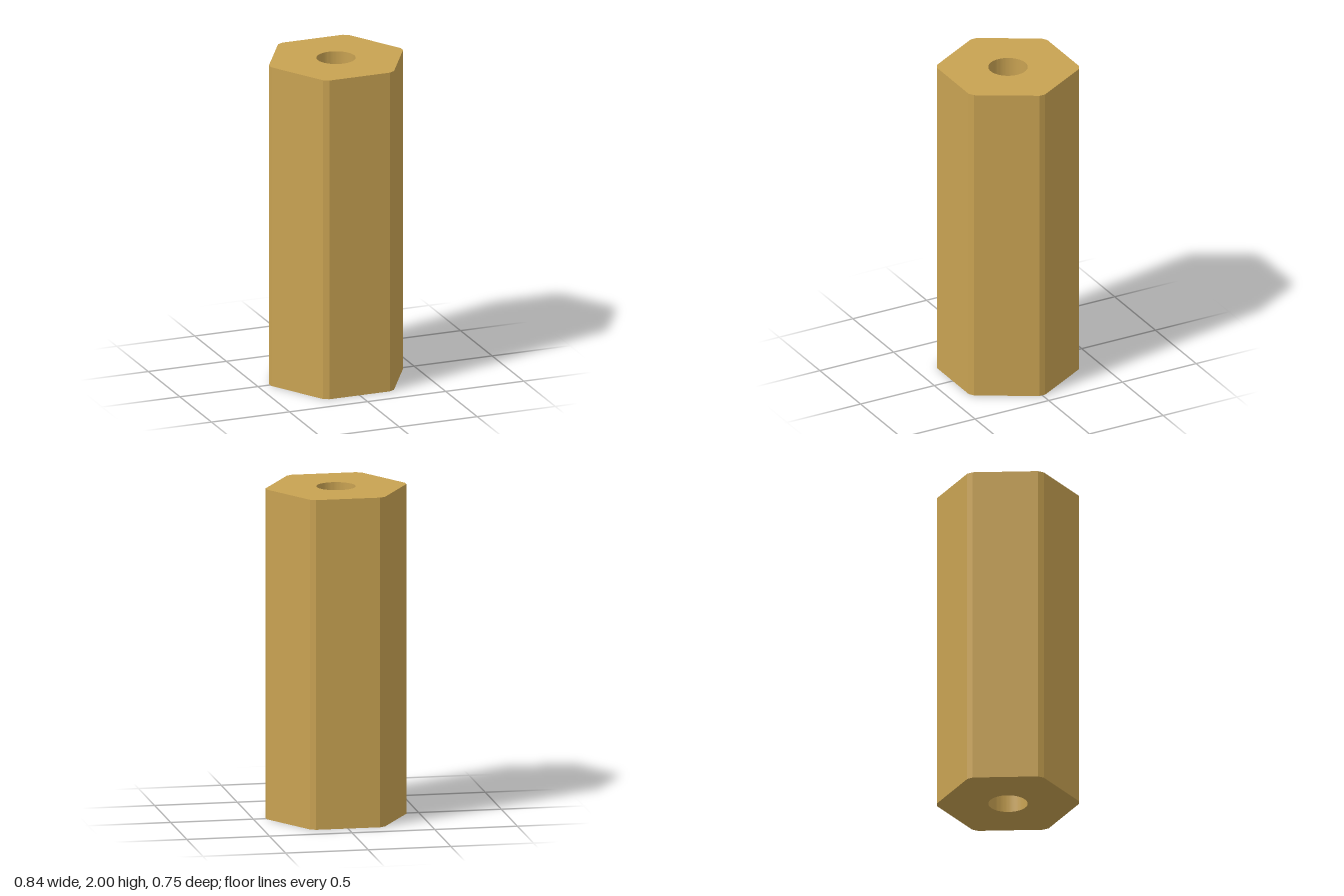
import * as THREE from 'three';
import { toCreasedNormals } from 'three/addons/utils/BufferGeometryUtils.js';

const HEIGHT = 2;
const APOTHEM = 0.375;      // centre to flat
const CORNER = 0.422;       // centre to trimmed corner
const BORE = 0.117;         // bore radius

// Hexagon with its six corners trimmed flat, and a round bore
function hexProfile() {
  const halfTrim = (APOTHEM * 2 / Math.sqrt(3) - CORNER) * Math.sqrt(3);
  const radius = Math.hypot(CORNER, halfTrim);
  const offset = Math.atan2(halfTrim, CORNER);
  const points = [];
  for (let i = 0; i < 6; i++) {
    for (const side of [-1, 1]) {
      const a = i * Math.PI / 3 + side * offset;
      points.push(new THREE.Vector2(radius * Math.cos(a), radius * Math.sin(a)));
    }
  }
  const shape = new THREE.Shape(points);
  shape.holes.push(new THREE.Path().absarc(0, 0, BORE, 0, Math.PI * 2, true));
  return shape;
}

export function createModel() {
  const group = new THREE.Group();
  group.name = 'hexStandoff';

  // Straight prism standing on the ground, bored right through
  const prism = new THREE.ExtrudeGeometry(hexProfile(), {
    depth: HEIGHT, bevelEnabled: false, curveSegments: 48,
  });
  prism.rotateX(-Math.PI / 2);

  // Flats and trims stay crisp, the bore wall is smooth
  const body = new THREE.Mesh(
    toCreasedNormals(prism, 0.35),
    new THREE.MeshStandardMaterial({ color: 0xc8a252 }),
  );
  body.name = 'hexBody';
  group.add(body);
  return group;
}
